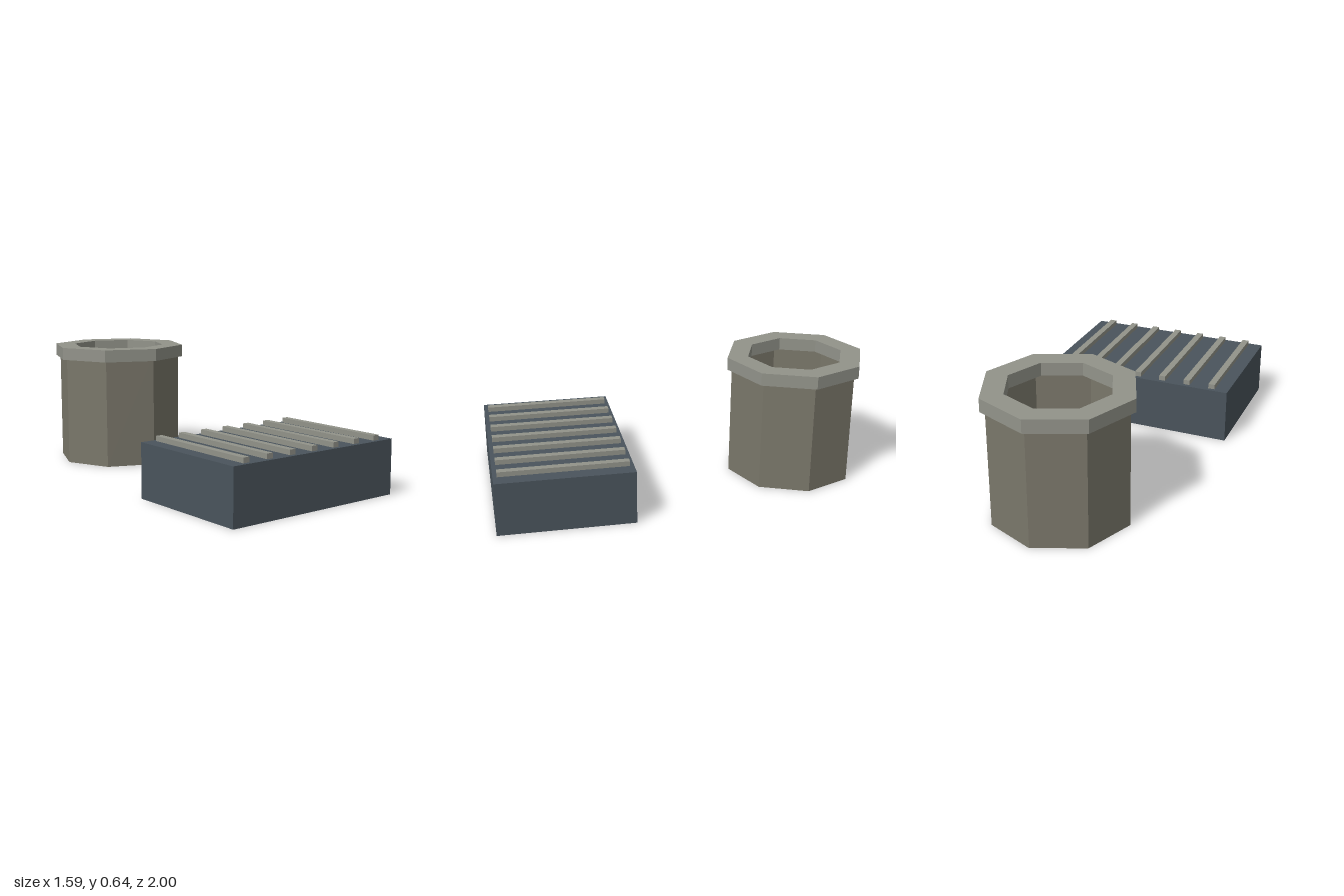
import * as THREE from 'three';

const mat = (color, side = THREE.FrontSide) =>
  new THREE.MeshStandardMaterial({ color, flatShading: true, side });

function part(parent, name, geometry, material, x = 0, y = 0, z = 0) {
  const mesh = new THREE.Mesh(geometry, material);
  mesh.name = name;
  mesh.position.set(x, y, z);
  parent.add(mesh);
  return mesh;
}

export function createModel() {
  const model = new THREE.Group();
  model.name = 'shaftAndGrate';
  const stone = mat(0x7a776a, THREE.DoubleSide);
  const trim = mat(0x92938a);
  const slate = mat(0x4a545c);
  const dark = mat(0x1e262b, THREE.DoubleSide);
  const sides = 8;

  // Octagonal shaft: open wall, overhanging rim and dark floor
  const shaft = new THREE.Group();
  shaft.name = 'shaft';
  shaft.position.set(-0.447, 0, -0.65);
  shaft.rotation.y = Math.PI / 6;
  model.add(shaft);

  const wallHeight = 0.6;
  part(shaft, 'shaftWall',
    new THREE.CylinderGeometry(0.339, 0.339, wallHeight, sides, 1, true), stone, 0, wallHeight / 2);

  const rimProfile = [[0.253, 0.575], [0.363, 0.575], [0.363, 0.64], [0.253, 0.64], [0.253, 0.575]]
    .map(([r, y]) => new THREE.Vector2(r, y));
  part(shaft, 'shaftRim', new THREE.LatheGeometry(rimProfile, sides), trim);

  const floor = new THREE.CircleGeometry(0.265, sides);
  floor.rotateX(-Math.PI / 2);
  part(shaft, 'shaftFloor', floor, dark, 0, 0.008);

  // Low block with raised slats across its top
  const grate = new THREE.Group();
  grate.name = 'grate';
  grate.position.set(0.19, 0, 0.4525);
  grate.rotation.y = Math.PI / 6;
  model.add(grate);

  const blockHeight = 0.275;
  part(grate, 'grateBlock', new THREE.BoxGeometry(0.992, blockHeight, 0.681), slate, 0, blockHeight / 2);

  const slat = new THREE.BoxGeometry(0.034, 0.04, 0.64);
  for (let i = -3; i <= 3; i++) {
    part(grate, `slat${i + 4}`, slat, trim, i * 0.1357, 0.28);
  }
  return model;
}
